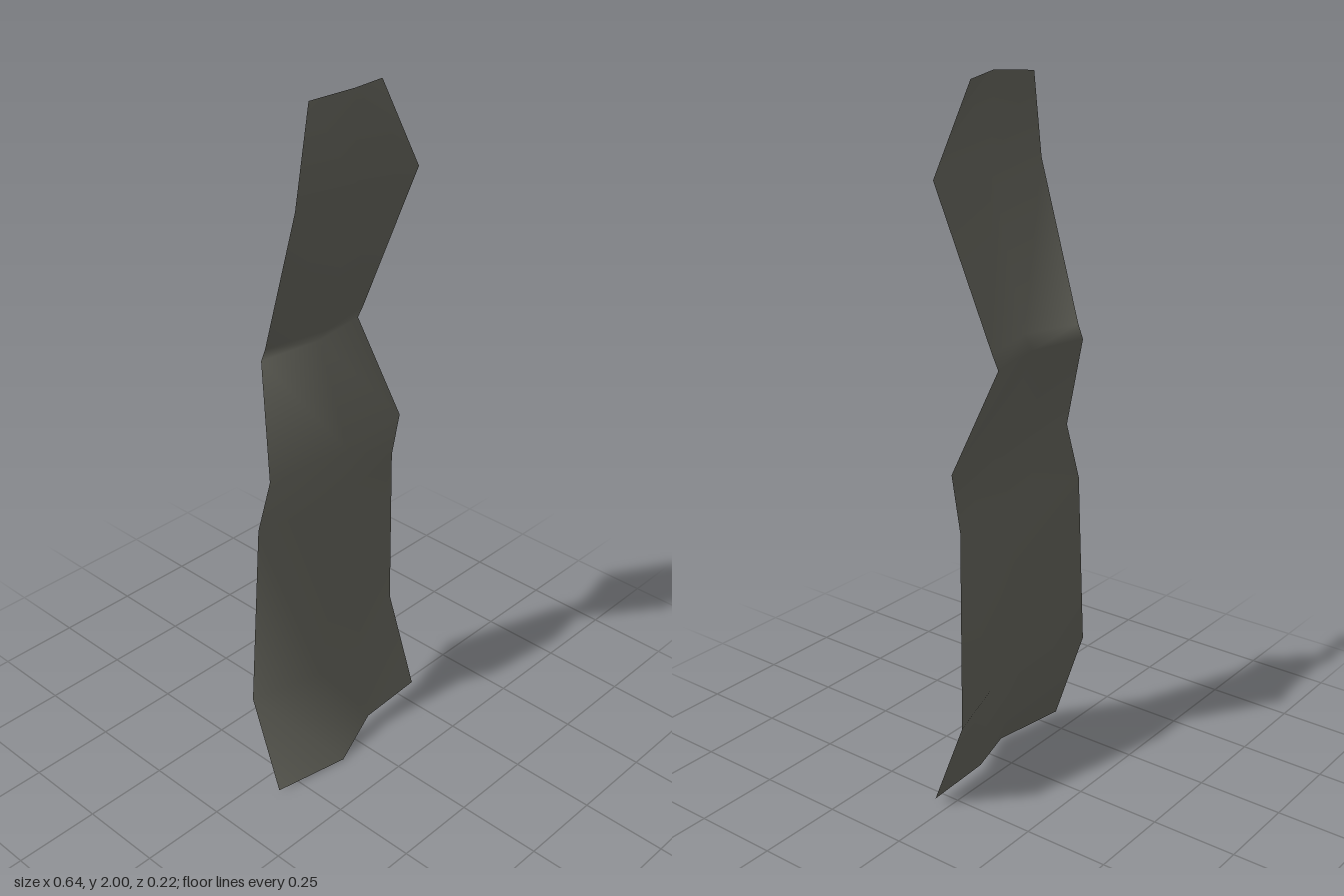
import * as THREE from 'three';

// Cross-sections of the hanging cloth from top to bottom; each point is [x, y, z]
const ROWS = [
  [[-0.115, 1.99, 0.015], [0.015, 2.0, 0.045], [0.145, 1.99, 0.015]],
  [[-0.21, 1.75, 0.06], [0.015, 1.75, 0.056], [0.24, 1.75, 0.06]],
  [[-0.173, 1.32, -0.095], [0.015, 1.325, -0.053], [0.203, 1.32, -0.095]],
  [[-0.172, 1.28, -0.112], [0.015, 1.285, -0.08], [0.2, 1.28, -0.112]],
  [[-0.255, 0.99, -0.003], [0.01, 0.99, 0.03], [0.26, 0.99, -0.003]],
  [[-0.27, 0.83, -0.037], [0.005, 0.82, 0.005], [0.272, 0.84, -0.04]],
  [[-0.322, 0.29, -0.025], [-0.1, 0.29, 0.035], [0.1, 0.29, -0.005], [0.32, 0.29, -0.078]],
  [[-0.318, 0.004, 0.07], [-0.09, 0, 0.11], [0.09, 0.02, 0.045], [0.305, 0.02, 0.035]],
];

// Joins neighbouring rows with triangles, also where their point counts differ
function clothGeometry(rows) {
  const positions = rows.flat(2);
  const index = [];
  let start = 0;
  for (let r = 0; r < rows.length - 1; r++) {
    const a = rows[r].length - 1;
    const b = rows[r + 1].length - 1;
    const below = start + a + 1;
    let i = 0;
    let j = 0;
    while (i < a || j < b) {
      if (j < b && (i === a || (j + 0.5) / b <= (i + 0.5) / a)) {
        index.push(start + i, below + j, below + j + 1);
        j++;
      } else {
        index.push(start + i, below + j, start + i + 1);
        i++;
      }
    }
    start = below;
  }
  const geometry = new THREE.BufferGeometry();
  geometry.setAttribute('position', new THREE.Float32BufferAttribute(positions, 3));
  geometry.setIndex(index);
  geometry.computeVertexNormals();
  return geometry;
}

export function createModel() {
  const group = new THREE.Group();
  group.name = 'hangingCloth';

  const greyCloth = new THREE.MeshStandardMaterial({ color: 0x77776d, side: THREE.DoubleSide });
  greyCloth.name = 'greyCloth';

  // Single folded sheet
  const cloth = new THREE.Mesh(clothGeometry(ROWS), greyCloth);
  cloth.name = 'clothSheet';
  group.add(cloth);

  return group;
}
